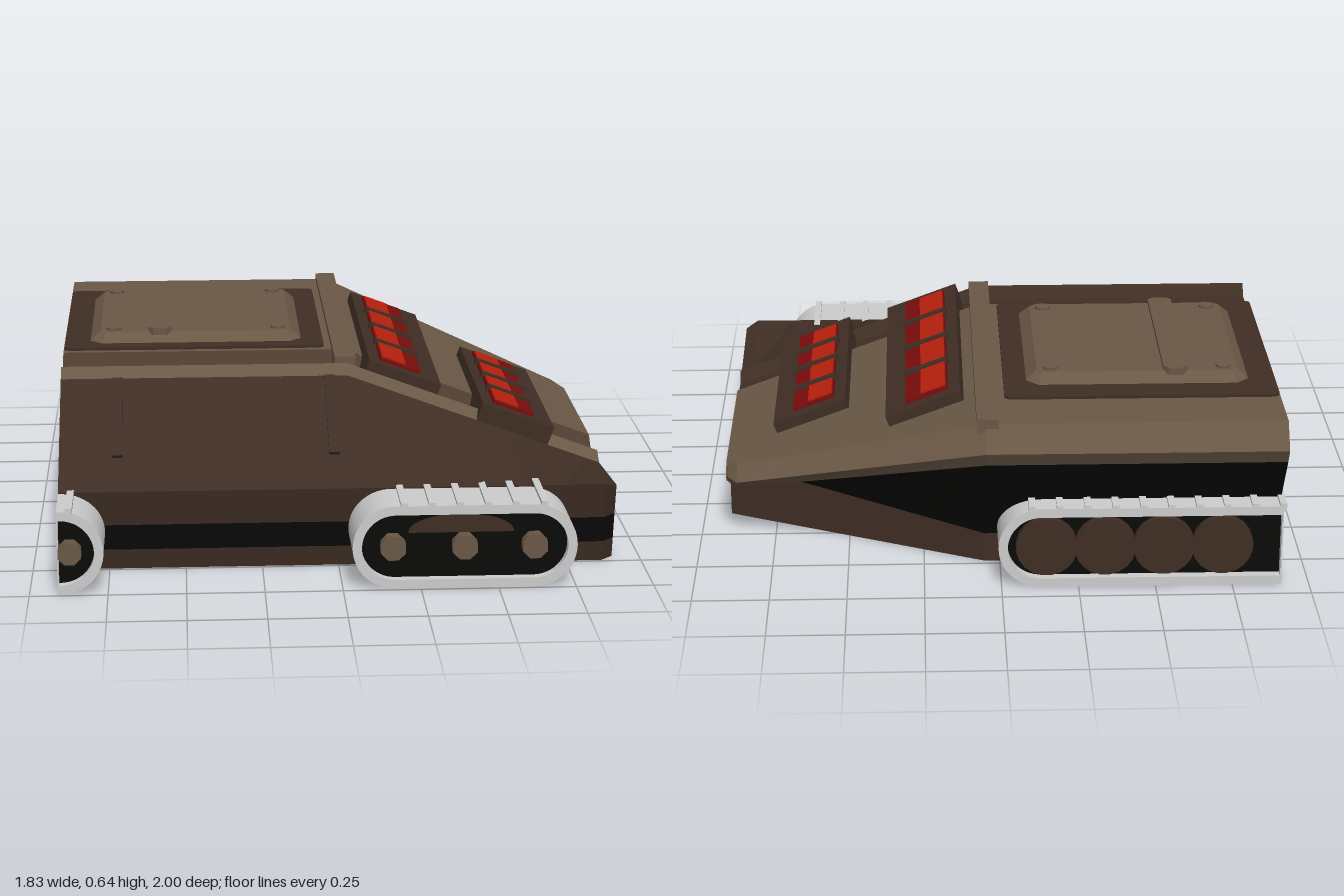
import * as THREE from 'three';

const mat = (name, color) => {
  const m = new THREE.MeshStandardMaterial({ color });
  m.name = name;
  return m;
};

export function createModel() {
  const light = mat('light brown', 0x6a5846);
  const dark = mat('dark brown', 0x3f2e24);
  const mid = mat('groove brown', 0x4c3c2f);
  const black = mat('shadow black', 0x0b0a09);
  const red = mat('bright red', 0xb8200e);
  const deepRed = mat('deep red', 0x780d0a);
  const grey = mat('track grey', 0xcccccc);

  const root = new THREE.Group();
  root.name = 'crawler';
  const add = (parent, name, geo, material, x = 0, y = 0, z = 0) => {
    const m = new THREE.Mesh(geo, material);
    m.name = name;
    m.position.set(x, y, z);
    parent.add(m);
    return m;
  };
  const box = (parent, name, material, w, h, d, x, y, z) =>
    add(parent, name, new THREE.BoxGeometry(w, h, d), material, x, y, z);

  // Hull: one [z, y] cross-section swept along x
  const section = (x, deck, rear, lip, under, wall, wallTop, front, nose) => ({
    x,
    p: [
      [front - 0.06, 0], [front - 0.045, 0.07], [front - 0.025, 0.16], [front, nose],
      [0.39, deck - 0.03], [0.34, deck], [0.31, deck - 0.04], [0.2, deck - 0.04], [0.15, deck],
      [rear + 0.06, deck], [rear, deck - lip], [rear + 0.03, deck - under],
      [wall, wallTop], [wall, 0],
    ],
  });
  const edgeMats = [dark, black, dark, dark, light, dark, dark, mid, light, light, light, black, dark, light];
  const keys = [
    section(-0.91, 0.58, -1, 0.08, 0.13, -0.73, 0.1, 0.8, 0.28),
    section(0.05, 0.58, -1, 0.08, 0.13, -0.73, 0.1, 0.8, 0.28),
    section(0.87, 0.275, -0.6, 0.04, 0.07, -0.35, 0.19, 0.8, 0.28),
    section(0.91, 0.26, -0.53, 0.03, 0.06, -0.33, 0.19, 0.76, 0.265),
  ];
  const stations = [];
  keys.forEach((k, i) => {
    stations.push(k);
    if (i !== 1) return;
    const n = keys[2];
    for (let s = 1; s < 6; s++) {
      const t = s / 6;
      const mix = (a, b) => a + (b - a) * t;
      stations.push({ x: mix(k.x, n.x), p: k.p.map((q, j) => [mix(q[0], n.p[j][0]), mix(q[1], n.p[j][1])]) });
    }
  });
  const hull = new THREE.Group();
  hull.name = 'hull';
  root.add(hull);
  for (const material of new Set(edgeMats)) {
    const v = [];
    edgeMats.forEach((em, i) => {
      if (em !== material) return;
      const j = (i + 1) % edgeMats.length;
      for (let s = 0; s + 1 < stations.length; s++) {
        const at = (st, k) => [st.x, st.p[k][1], st.p[k][0]];
        const a = at(stations[s], i), b = at(stations[s + 1], i);
        const c = at(stations[s + 1], j), d = at(stations[s], j);
        v.push(...a, ...b, ...c, ...a, ...c, ...d);
      }
    });
    const g = new THREE.BufferGeometry();
    g.setAttribute('position', new THREE.Float32BufferAttribute(v, 3));
    g.computeVertexNormals();
    add(hull, 'hullPanels', g, material);
  }
  // Flat hull ends
  for (const side of [-1, 1]) {
    const st = side < 0 ? keys[0] : keys[3];
    const shape = new THREE.Shape(st.p.map(([z, y]) => new THREE.Vector2(-side * z, y)));
    const g = new THREE.ShapeGeometry(shape).rotateY((side * Math.PI) / 2);
    add(hull, 'hullEnd', g, side < 0 ? dark : light, st.x);
  }

  // Ridge beam and ribs on the front slope
  box(root, 'ridgeBeam', light, 0.07, 0.05, 1.28, 0.045, 0.575, -0.31);
  for (const x of [-0.72, -0.01]) {
    box(root, 'slopeRib', dark, 0.035, 0.016, 0.34, x, 0.457, 0.54).rotation.x = 0.582;
  }

  // Plates lying on the deck: outline with cut corners, optional bevel
  const plate = (x0, x1, z0, z1, c, depth, bevel) => {
    const s = new THREE.Shape([
      [x0 + c, -z0], [x0, -z0 - c], [x0, -z1 + c], [x0 + c, -z1],
      [x1 - c, -z1], [x1, -z1 + c], [x1, -z0 - c], [x1 - c, -z0],
    ].map(([a, b]) => new THREE.Vector2(a, b)));
    return new THREE.ExtrudeGeometry(s, {
      depth, bevelEnabled: bevel > 0, bevelSize: bevel, bevelOffset: -bevel,
      bevelThickness: bevel * 0.9, bevelSegments: 1,
    }).rotateX(-Math.PI / 2);
  };
  add(root, 'hatchBase', plate(-0.908, -0.015, -0.74, 0.125, 0.015, 0.02, 0), dark, 0, 0.57, 0);
  add(root, 'hatch', plate(-0.82, -0.09, -0.64, 0.065, 0.04, 0.01, 0.035), light, 0, 0.58, 0);
  add(root, 'hatchHandle', plate(-0.62, -0.54, -0.62, 0.045, 0.018, 0.025, 0), light, 0, 0.612, 0);
  for (const x of [-0.74, -0.17]) {
    for (const z of [-0.57, -0.01]) {
      add(root, 'hatchBolt', new THREE.CylinderGeometry(0.025, 0.025, 0.02, 12), light, x, 0.62, z);
    }
  }

  // Red light panels on the sloping wing
  const slope = 0.305 / 0.82;
  const lightPanel = (x0, x1, z0, z1, bars) => {
    const g = new THREE.Group();
    g.name = 'lightPanel';
    const cx = (x0 + x1) / 2, cz = (z0 + z1) / 2;
    g.position.set(cx, 0.58 - slope * (cx - 0.05), cz);
    g.rotation.z = -Math.atan(slope);
    const len = z1 - z0;
    box(g, 'panelBase', dark, 0.26, 0.07, len, 0, 0, 0);
    box(g, 'lampBed', deepRed, 0.145, 0.016, len - 0.1, -0.016, 0.038, 0);
    box(g, 'lamp', red, 0.085, 0.022, len - 0.13, -0.042, 0.04, 0);
    for (const z of bars) box(g, 'lampBar', dark, 0.165, 0.03, 0.026, -0.015, 0.042, z - cz);
    root.add(g);
  };
  lightPanel(0.11, 0.365, -0.68, 0.34, [-0.4, -0.17, 0.07]);
  lightPanel(0.49, 0.75, -0.39, 0.39, [-0.18, 0, 0.17]);

  // Tracks: right end is always round, left end is round or cut flat
  const R = 0.138;
  const loop = (x0, x1, r, cut, S) => {
    const s = new S();
    s.moveTo(x1, R - r);
    s.absarc(x1, R, r, -Math.PI / 2, Math.PI / 2, false);
    if (cut) {
      s.lineTo(x0, R + r);
      s.lineTo(x0, R - r);
    } else {
      s.absarc(x0, R, r, Math.PI / 2, Math.PI * 1.5, false);
    }
    s.closePath();
    return s;
  };
  const track = (x0, x1, z0, z1, cut, face) => {
    const g = new THREE.Group();
    g.name = 'track';
    root.add(g);
    const a = cut ? x0 : x0 + R, b = x1 - R;
    const band = loop(a, b, R, cut, THREE.Shape);
    band.holes.push(loop(cut ? a + 0.005 : a, b, R - 0.03, cut, THREE.Path));
    const opts = { bevelEnabled: false, curveSegments: 14 };
    add(g, 'trackBand', new THREE.ExtrudeGeometry(band, { ...opts, depth: z1 - z0 }), grey, 0, 0, z0);
    const core = loop(cut ? a + 0.005 : a, b, R - 0.029, cut, THREE.Shape);
    add(g, 'trackCore', new THREE.ExtrudeGeometry(core, { ...opts, depth: z1 - z0 - 0.06 }), black, 0, 0, z0 + 0.03);
    for (let x = b + 0.03; x > a; x -= 0.09) {
      box(g, 'tread', grey, 0.022, 0.02, z1 - z0, x, 2 * R, (z0 + z1) / 2);
    }
    return g;
  };
  const wheel = (g, name, material, r, sides, x, z, depth) => {
    const geo = new THREE.CylinderGeometry(r, r, depth, sides);
    geo.rotateY(Math.PI / sides).rotateX(Math.PI / 2);
    add(g, name, geo, material, x, R, z);
  };

  const front = track(0.03, 0.752, 0.74, 0.99, false);
  for (const x of [0.16, 0.39, 0.615]) wheel(front, 'hub', light, 0.043, 8, x, 0.965, 0.07);
  // Curved suspension guard above the middle hub
  const arch = new THREE.Shape();
  arch.absellipse(0.38, 0.18, 0.17, 0.06, 0, Math.PI, false);
  add(front, 'suspensionGuard', new THREE.ExtrudeGeometry(arch, { depth: 0.012, bevelEnabled: false }), dark, 0, 0, 0.955);

  const corner = track(-0.91, -0.762, 0.74, 0.99, true);
  wheel(corner, 'hub', light, 0.04, 8, -0.87, 0.965, 0.07);

  const rear = track(-0.91, 0.01, -0.93, -0.72, true);
  for (let i = 0; i < 4; i++) wheel(rear, 'roadWheel', dark, 0.1, 20, -0.146 - i * 0.19, -0.905, 0.04);

  return root;
}
